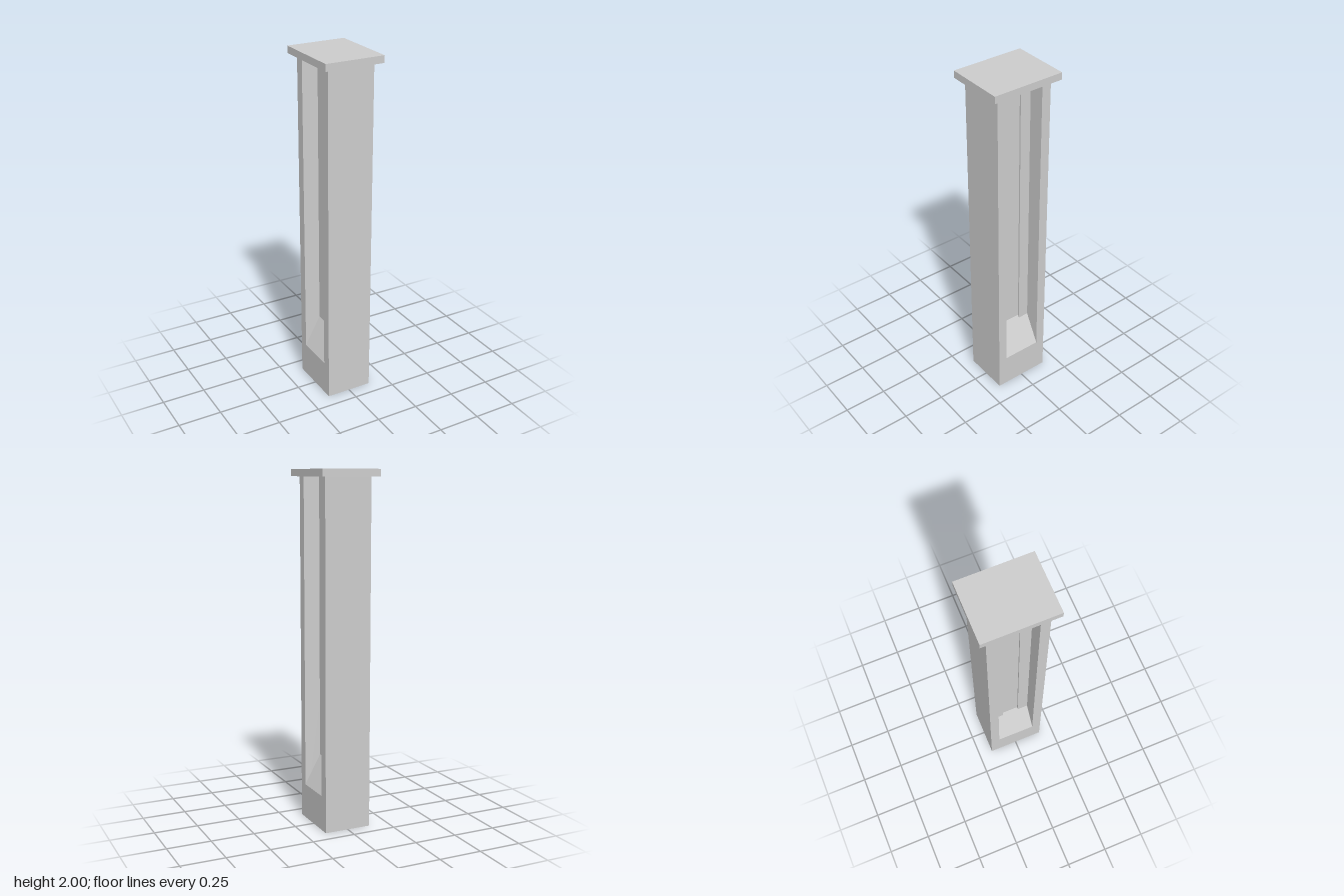
import * as THREE from 'three';

const HALF_X = 0.136, HALF_Z = 0.167; // shaft half sizes
const RECESS_Z = 0.113, GROOVE_Z = 0.05; // half widths of side recess and its inner groove
const SHAFT_TOP = 1.96, SILL_Y = 0.2, SLOPE = 1.82; // sill rises as it goes inward

export function createModel() {
  const group = new THREE.Group();
  const stone = new THREE.MeshStandardMaterial({ color: 0xcccccc });
  stone.name = 'grey stone';

  const add = (name, geometry, x, y, z) => {
    const mesh = new THREE.Mesh(geometry, stone);
    mesh.name = name;
    mesh.position.set(x, y, z);
    group.add(mesh);
  };

  // Slice of the shaft's core: full-width base, sloped sills, thin web up to the cap
  const coreSlice = (name, webHalf, z0, z1) => {
    const sillTop = SILL_Y + (HALF_X - webHalf) * SLOPE;
    const half = [[HALF_X, 0], [HALF_X, SILL_Y], [webHalf, sillTop], [webHalf, SHAFT_TOP]];
    const mirrored = half.map(([x, y]) => [-x, y]).reverse();
    const shape = new THREE.Shape([...half, ...mirrored].map(([x, y]) => new THREE.Vector2(x, y)));
    add(name, new THREE.ExtrudeGeometry(shape, { depth: z1 - z0, bevelEnabled: false }), 0, 0, z0);
  };

  // Core: shallower panels either side of a slightly deeper groove
  coreSlice('frontPanel', 0.043, GROOVE_Z, RECESS_Z);
  coreSlice('groove', 0.034, -GROOVE_Z, GROOVE_Z);
  coreSlice('backPanel', 0.043, -RECESS_Z, -GROOVE_Z);

  // Solid front and back faces of the shaft
  const wall = HALF_Z - RECESS_Z;
  for (const [name, side] of [['frontWall', 1], ['backWall', -1]]) {
    add(name, new THREE.BoxGeometry(HALF_X * 2, SHAFT_TOP, wall),
      0, SHAFT_TOP / 2, side * (RECESS_Z + wall / 2));
  }

  // Flat overhanging cap
  add('cap', new THREE.BoxGeometry(0.342, 2 - SHAFT_TOP, 0.417), 0, (2 + SHAFT_TOP) / 2, 0);

  return group;
}
